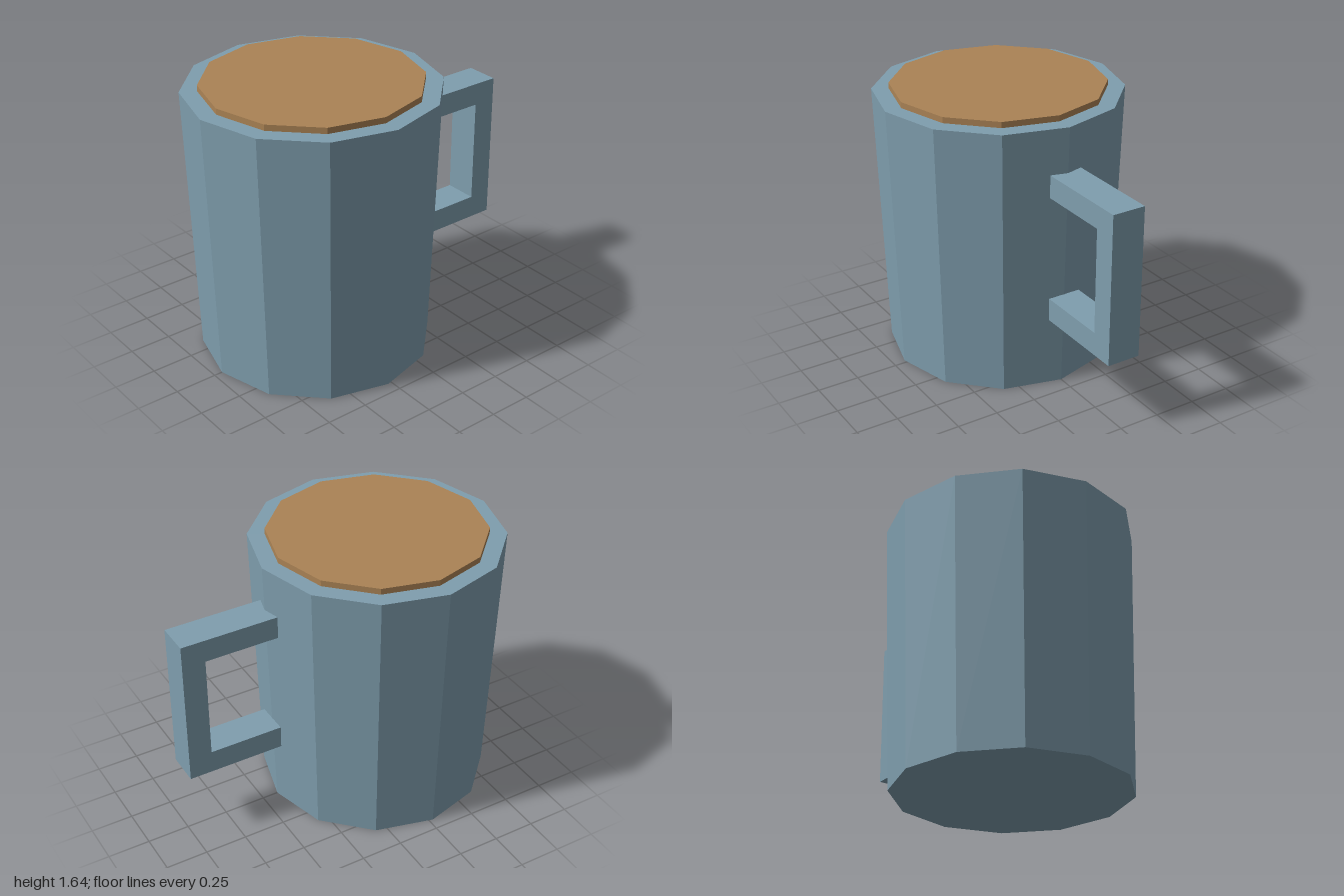
import * as THREE from 'three';

const SIDES = 12;
const CENTRE_X = -0.273;

export function createModel() {
  const model = new THREE.Group();
  model.name = 'mug';

  const glaze = new THREE.MeshStandardMaterial({ color: 0x7f9eae });
  glaze.name = 'blue grey glaze';
  const coffee = new THREE.MeshStandardMaterial({ color: 0xab8355 });
  coffee.name = 'coffee brown';

  const add = (name, geometry, material) => {
    const mesh = new THREE.Mesh(geometry, material);
    mesh.name = name;
    model.add(mesh);
    return mesh;
  };

  // Faceted tapered drum; non-indexed normals give each side a flat face
  const drum = (top, bottom, y0, y1) => {
    const g = new THREE.CylinderGeometry(top, bottom, y1 - y0, SIDES).toNonIndexed();
    g.computeVertexNormals();
    return g.translate(CENTRE_X, (y0 + y1) / 2, 0);
  };

  // Cup body and the drink standing just proud of its rim
  add('cup', drum(0.727, 0.677, 0, 1.61), glaze);
  add('drink', drum(0.627, 0.627, 1.59, 1.645), coffee);

  // Square C-shaped handle on the left side
  const outline = [
    [0.42, 0.44], [1, 0.44], [1, 1.34], [0.42, 1.34],
    [0.42, 1.205], [0.862, 1.205], [0.862, 0.578], [0.42, 0.578],
  ].map(([x, y]) => new THREE.Vector2(x, y));
  const handle = new THREE.ExtrudeGeometry(new THREE.Shape(outline), { depth: 0.2, bevelEnabled: false });
  add('handle', handle.translate(0, 0, -0.1), glaze);

  return model;
}
